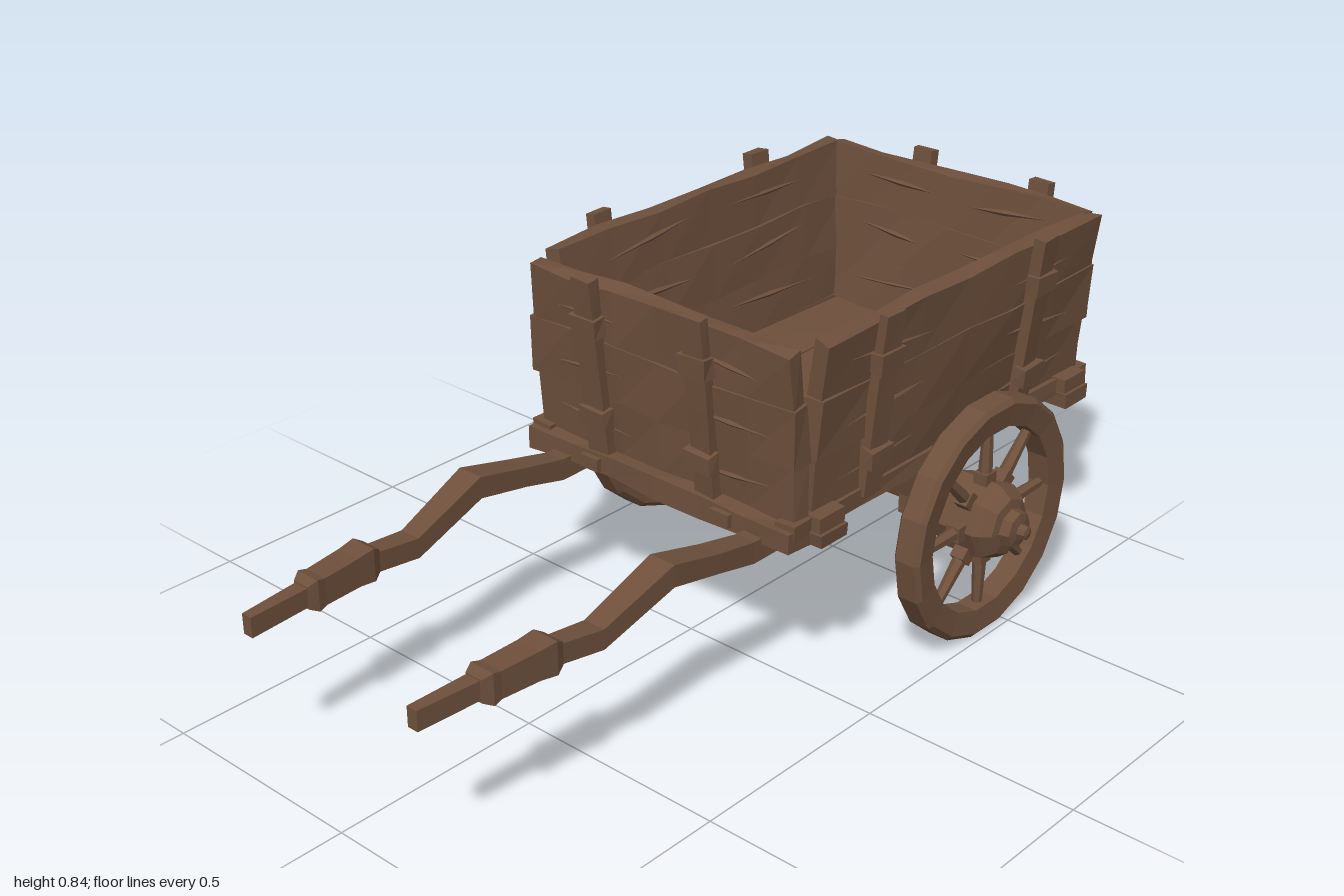
import * as THREE from 'three';

const wood = new THREE.MeshStandardMaterial({ color: 0x6e503c });
wood.name = 'brown wood';

// Faceted mesh with hard edges
function part(name, geo, parent, x = 0, y = 0, z = 0) {
  const g = geo.index ? geo.toNonIndexed() : geo;
  g.computeVertexNormals();
  const m = new THREE.Mesh(g, wood);
  m.name = name;
  m.position.set(x, y, z);
  parent.add(m);
  return m;
}

// Hand-hewn unevenness: the shift depends only on position, so seams stay closed
let seed = 1;
function hew(geo, ax, ay, az) {
  const p = geo.attributes.position, s = seed++;
  for (let i = 0; i < p.count; i++) {
    const x = p.getX(i), y = p.getY(i), z = p.getZ(i);
    const k = x * 37.1 + y * 53.7 + z * 71.3 + s * 2.17;
    p.setXYZ(i, x + ax * Math.sin(k), y + ay * Math.sin(k * 1.7 + 1), z + az * Math.sin(k * 2.3 + 2));
  }
  return geo;
}

const box = (w, h, d, nx = 1, ny = 1, nz = 1) => new THREE.BoxGeometry(w, h, d, nx, ny, nz);

// Rectangular beam along z through stations [z, x, y, width, height]
function beam(stations) {
  const n = stations.length - 1, g = box(1, 1, 1, 1, 1, n), p = g.attributes.position;
  for (let i = 0; i < p.count; i++) {
    const [z, x, y, w, h] = stations[Math.round((p.getZ(i) + 0.5) * n)];
    p.setXYZ(i, x + p.getX(i) * w, y + p.getY(i) * h, z);
  }
  return g;
}

// Long thin splinter lying on a board
function splinter(parent, x, y, z, len, angle) {
  const g = new THREE.OctahedronGeometry(1);
  g.scale(len / 2, 0.007, 0.006);
  part('splinter', g, parent, x, y, z).rotation.z = angle;
}

// Leaning wall of three planks with strapped posts; local +z faces outward
function wall(name, parent, pos, turn, len, posts) {
  const w = new THREE.Group(), h = 0.126, t = 0.04;
  w.name = name;
  w.position.set(...pos);
  w.rotation.set(0.08, turn, 0, 'YXZ');
  for (let i = 0; i < 3; i++) {
    const thick = t + (i === 1 ? 0.008 : 0);
    const l = len - (i === 1 ? 0 : 0.014);
    part('plank', hew(box(l, h + 0.006, thick, 6, 1, 1), 0.004, 0.005, 0.004), w, 0, h * (i + 0.5), 0);
    for (const side of [-1, 1]) {
      const a = 0.1 * Math.sin(i * 2 + side + turn);
      splinter(w, side * len * 0.27, h * (i + 0.45), thick / 2, len * 0.3, a);
      splinter(w, -side * len * 0.2, h * (i + 0.6), -thick / 2, len * 0.33, -a);
    }
  }
  for (const x of posts) {
    const post = part('post', hew(box(0.054, 0.42, 0.026, 1, 4, 1), 0.002, 0, 0.003), w, x, 0.197, 0.034);
    post.rotation.x = 0.03;
    for (const y of [0.08, 0.3])
      part('strap', hew(box(0.072, 0.045, 0.032), 0.002, 0.003, 0.002), w, x, y, 0.042);
  }
  parent.add(w);
  return w;
}

// Spoked wheel; local +x faces outward
function wheel(name, parent, x, turn) {
  const w = new THREE.Group();
  w.name = name;
  w.position.set(x, 0.28, -0.435);
  w.rotation.y = turn;
  const lathe = (pts, n) => new THREE.LatheGeometry(pts.map(p => new THREE.Vector2(...p)), n);
  const rim = lathe([[0.215, -0.026], [0.268, -0.033], [0.279, -0.024], [0.279, 0.024],
    [0.268, 0.033], [0.215, 0.026], [0.215, -0.026]], 18);
  part('rim', rim, w).rotation.z = -Math.PI / 2;
  const hub = lathe([[0, -0.066], [0.09, -0.066], [0.09, 0.034], [0.082, 0.05], [0.066, 0.07],
    [0.045, 0.074], [0.04, 0.096], [0.017, 0.1], [0.015, 0.117], [0, 0.121]], 8);
  part('hub', hub, w).rotation.z = -Math.PI / 2;
  for (let i = 0; i < 8; i++) {
    const spoke = new THREE.Group();
    spoke.name = 'spoke';
    spoke.rotation.x = i * Math.PI / 4;
    part('spokeBar', new THREE.CylinderGeometry(0.011, 0.017, 0.16, 6), spoke, 0, 0.15, 0);
    part('spokeFoot', box(0.034, 0.03, 0.036), spoke, 0, 0.095, 0);
    w.add(spoke);
  }
  parent.add(w);
}

export function createModel() {
  const cart = new THREE.Group();
  cart.name = 'cart';

  // Floor boards and the frame below them
  for (let i = 0; i < 4; i++) {
    const x = -0.2475 + i * 0.165;
    part('floorBoard', hew(box(0.164, 0.03, 0.98, 1, 1, 5), 0.002, 0.003, 0), cart, x, 0.418, -0.43);
    const s = new THREE.Group();
    s.name = 'floorSplinters';
    s.position.set(x, 0.433, -0.45);
    s.rotation.set(-Math.PI / 2, 0, 0);
    splinter(s, 0.02 * Math.sin(i * 3), 0.2 - 0.13 * i, 0, 0.3, Math.PI / 2 + 0.08 * Math.sin(i * 2));
    cart.add(s);
  }
  for (const s of [-1, 1])
    part('sill', hew(box(0.05, 0.036, 1.05, 1, 1, 5), 0.003, 0.002, 0), cart, s * 0.345, 0.422, -0.42);
  part('frontBeam', hew(box(0.74, 0.05, 0.065, 6, 1, 1), 0, 0.005, 0.004), cart, 0, 0.405, 0.085);
  part('backBeam', hew(box(0.74, 0.045, 0.055, 6, 1, 1), 0, 0.004, 0.004), cart, 0, 0.415, -0.925);
  for (const z of [0.01, -0.87]) {
    part('crossBeam', hew(box(0.8, 0.032, 0.085, 4, 1, 1), 0.002, 0.002, 0.003), cart, 0, 0.395, z);
    for (const s of [-1, 1]) part('beamBlock', box(0.04, 0.04, 0.08), cart, s * 0.373, 0.425, z);
  }
  for (const x of [-0.18, 0.19])
    part('beamPeg', box(0.05, 0.03, 0.02), cart, x, 0.405, 0.118);

  // Walls
  wall('frontWall', cart, [0, 0.437, 0.066], 0, 0.73, [-0.17, 0.13]);
  const back = wall('backWall', cart, [0, 0.437, -0.9], Math.PI, 0.73, [-0.2, 0.13]);
  wall('rightWall', cart, [0.337, 0.44, -0.445], Math.PI / 2, 0.97, [-0.305, 0.235]);
  wall('leftWall', cart, [-0.337, 0.44, -0.445], -Math.PI / 2, 0.97, [0.295, -0.235]);

  // Latch on the back wall
  part('latchPlate', box(0.08, 0.07, 0.014), back, 0.29, 0.26, 0.028);
  part('latchBolt', box(0.13, 0.024, 0.022), back, 0.3, 0.27, 0.04);
  part('latchRing', new THREE.TorusGeometry(0.026, 0.008, 5, 8), back, 0.28, 0.235, 0.044);

  // Shafts running under the floor and forward to the handles
  for (const s of [-1, 1]) {
    const shaft = new THREE.Group();
    shaft.name = s > 0 ? 'rightShaft' : 'leftShaft';
    part('shaftBeam', beam([
      [-1, s * 0.275, 0.368, 0.05, 0.036], [-0.4, s * 0.275, 0.368, 0.05, 0.036],
      [0.14, s * 0.272, 0.37, 0.05, 0.05], [0.25, s * 0.274, 0.395, 0.058, 0.045],
      [0.385, s * 0.272, 0.425, 0.064, 0.05], [0.565, s * 0.262, 0.358, 0.052, 0.045],
      [0.7, s * 0.256, 0.375, 0.042, 0.045], [0.86, s * 0.244, 0.375, 0.036, 0.042],
      [1, s * 0.235, 0.372, 0.026, 0.045]]), shaft);
    part('handleWrap', beam([
      [0.67, s * 0.259, 0.376, 0.05, 0.05], [0.69, s * 0.258, 0.376, 0.064, 0.074],
      [0.73, s * 0.255, 0.376, 0.06, 0.064], [0.82, s * 0.248, 0.374, 0.056, 0.06],
      [0.84, s * 0.247, 0.374, 0.06, 0.07], [0.86, s * 0.245, 0.374, 0.042, 0.05]]), shaft);
    // Axle bearing: tapered block plus a strap round the axle
    part('axleBlock', beam([
      [-0.56, s * 0.275, 0.344, 0.045, 0.02], [-0.475, s * 0.275, 0.318, 0.045, 0.07],
      [-0.395, s * 0.275, 0.318, 0.045, 0.07], [-0.31, s * 0.275, 0.344, 0.045, 0.02]]), shaft);
    part('axleStrap', box(0.032, 0.115, 0.075), shaft, s * 0.275, 0.292, -0.435);
    cart.add(shaft);
  }

  // Axle and wheels
  part('axle', new THREE.CylinderGeometry(0.026, 0.026, 0.82, 8), cart, 0, 0.278, -0.435).rotation.z = Math.PI / 2;
  wheel('rightWheel', cart, 0.456, 0);
  wheel('leftWheel', cart, -0.456, Math.PI);

  return cart;
}
